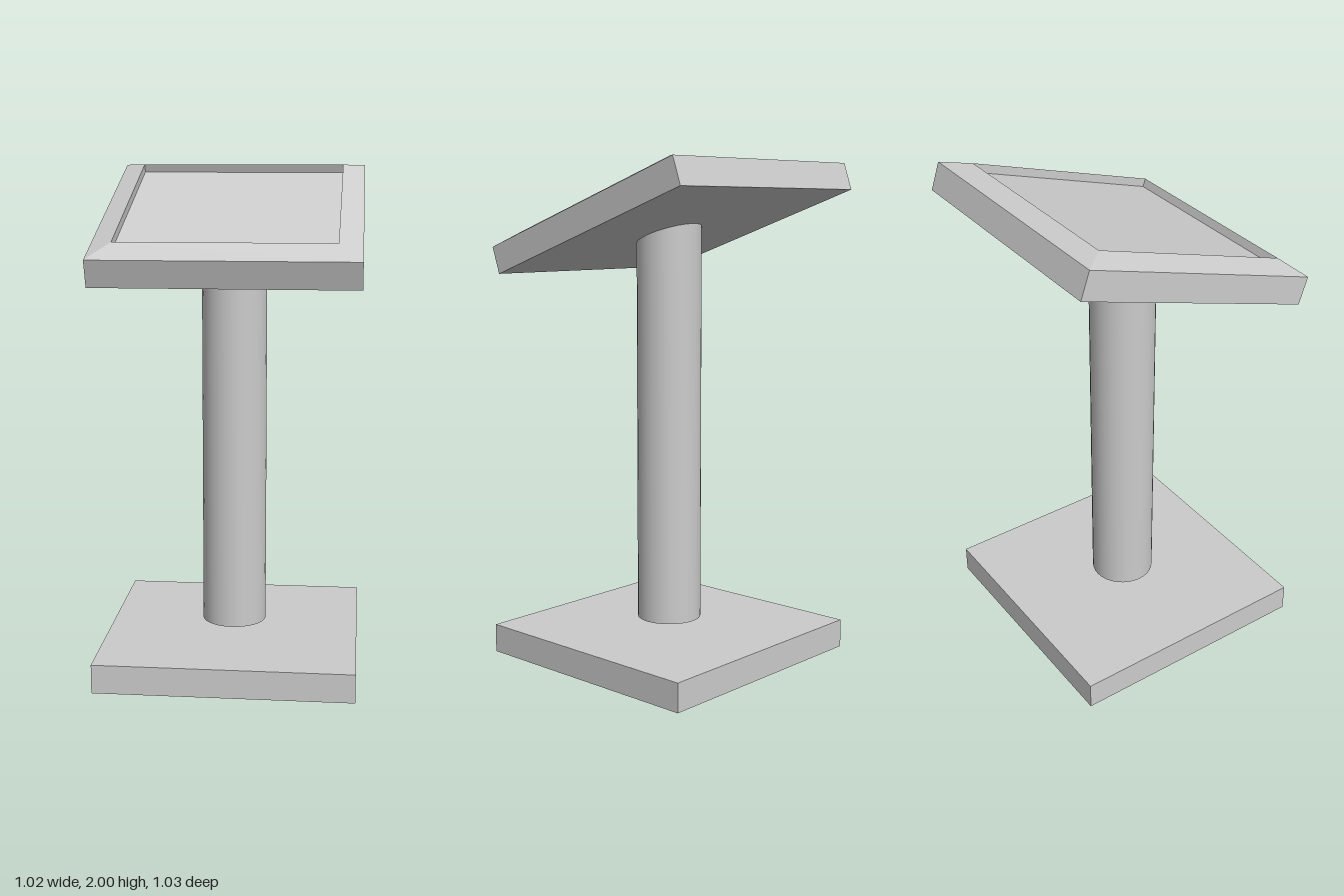
import * as THREE from 'three';

export function createModel() {
  const model = new THREE.Group();
  const flat = new THREE.MeshStandardMaterial({ color: 0xcccccc, flatShading: true });
  const smooth = new THREE.MeshStandardMaterial({ color: 0xcccccc });

  const add = (name, geometry, material, y, z) => {
    const mesh = new THREE.Mesh(geometry, material);
    mesh.name = name;
    mesh.position.set(0, y, z);
    model.add(mesh);
    return mesh;
  };

  const size = 1.018;

  // Square foot plate
  add('basePlate', new THREE.BoxGeometry(size, 0.115, size), flat, 0.0575, 0.006);

  // Round post: hovers just above the plate and ends inside the tilted panel
  const bottom = 0.147, top = 1.77;
  add('post', new THREE.CylinderGeometry(0.13, 0.13, top - bottom, 32), smooth, (bottom + top) / 2, 0.006);

  // Tilted panel: square rings (half width, height) forming the slab,
  // the sloping frame and the recessed face
  const outer = size / 2, inner = 0.418, rim = 0.034, thickness = 0.111;
  const profile = [
    [0, -thickness], [outer, -thickness], [outer, 0],
    [inner, rim], [inner, 0], [0, 0],
  ].map(([w, h]) => new THREE.Vector2(w * Math.SQRT2, h));
  const panelGeometry = new THREE.LatheGeometry(profile, 4, Math.PI / 4).toNonIndexed();
  panelGeometry.computeVertexNormals();
  const panel = add('panel', panelGeometry, flat, 1.834, 0.005);
  panel.rotation.x = 0.33;

  return model;
}
